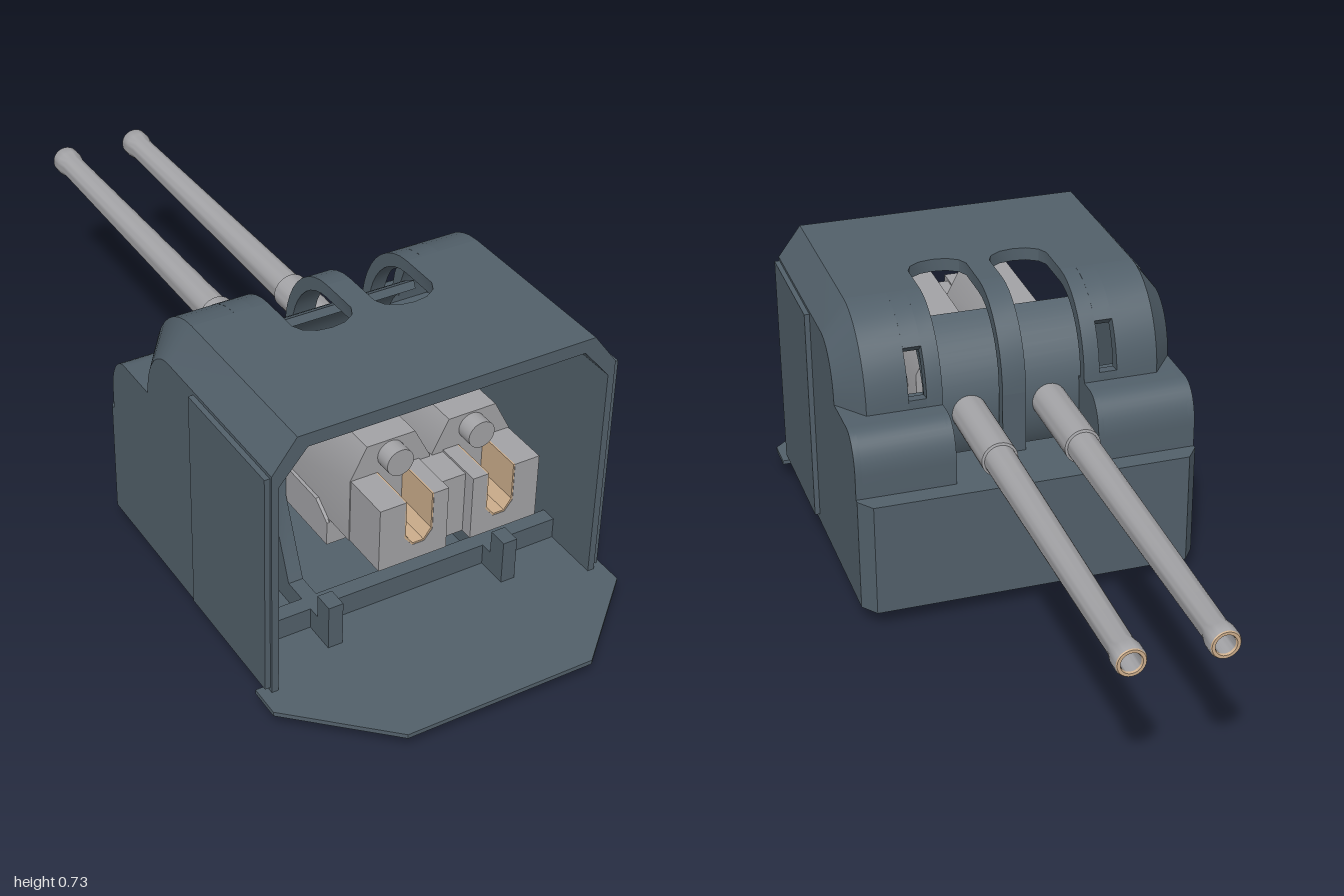
import * as THREE from 'three';
import { toCreasedNormals } from 'three/addons/utils/BufferGeometryUtils.js';

const mat = (name, color) => {
  const m = new THREE.MeshStandardMaterial({ color, side: THREE.DoubleSide });
  m.name = name;
  return m;
};

export function createModel() {
  const root = new THREE.Group();
  root.name = 'twinGunMount';
  const armour = mat('blue grey armour', 0x52606a);
  const steel = mat('light gun steel', 0xa3a3a6);
  const brass = mat('tan bore', 0xcdae8c);
  const black = mat('dark base', 0x2d2b29);

  const add = (name, geo, material, parent = root) => {
    const m = new THREE.Mesh(geo, material);
    m.name = name;
    parent.add(m);
    return m;
  };
  const shapeOf = pts => new THREE.Shape(pts.map(p => new THREE.Vector2(p[0], p[1])));
  const extrude = (pts, depth) =>
    toCreasedNormals(new THREE.ExtrudeGeometry(shapeOf(pts), { depth, bevelEnabled: false }), 0.5);
  // (z, y) outline extruded across x
  const slab = (pts, x0, x1) => extrude(pts, x1 - x0).rotateY(-Math.PI / 2).translate(x1, 0, 0);
  // (x, z) outline extruded in height
  const plan = (pts, y0, y1) => extrude(pts, y1 - y0).rotateX(Math.PI / 2).translate(0, y1, 0);
  // (x, y) outline extruded along z
  const front = (pts, z0, z1) => extrude(pts, z1 - z0).translate(0, 0, z0);
  const box = (x0, x1, y0, y1, z0, z1) =>
    new THREE.BoxGeometry(x1 - x0, y1 - y0, z1 - z0).translate((x0 + x1) / 2, (y0 + y1) / 2, (z0 + z1) / 2);
  // arc from straight up round towards the muzzle side
  const arc = (cz, cy, rz, ry, a0 = 0, a1 = Math.PI / 2, n = 10) =>
    Array.from({ length: n + 1 }, (_, i) => {
      const a = a0 + (a1 - a0) * i / n;
      return [cz - rz * Math.sin(a), cy + ry * Math.cos(a)];
    });
  const flip = pts => pts.map(([x, y]) => [-x, y]);

  // Base ring and floor
  add('baseRing', new THREE.CylinderGeometry(0.27, 0.27, 0.05, 48, 1, true).translate(0, 0.025, 0.35), black);
  add('baseRingInside', new THREE.CylinderGeometry(0.258, 0.258, 0.05, 48, 1, true).translate(0, 0.025, 0.35), black);
  add('baseRingEdge', new THREE.RingGeometry(0.258, 0.27, 48).rotateX(Math.PI / 2).translate(0, 0.0005, 0.35), black);
  const half = [[0.4, -0.07], [0.43, -0.03], [0.43, 0.72], [0.457, 0.72], [0.457, 0.8], [0.24, 1]];
  add('floorPlate', plan([...half, ...flip(half).reverse()], 0.045, 0.056), armour);

  // Roof with two rounded gun slots
  const notch = [[0.03, 0.28], [0.03, 0.385], [0.042, 0.41], [0.07, 0.428], [0.105, 0.433],
    [0.14, 0.428], [0.168, 0.41], [0.18, 0.385], [0.18, 0.28]];
  add('roof', plan([[-0.37, 0.745], [-0.37, 0.28], ...flip(notch).reverse(), ...notch,
    [0.37, 0.28], [0.37, 0.745]], 0.692, 0.725), armour);

  // Curved upper front, divided by gun slots and sight ports
  const band = (a0, a1) => [...arc(0.28, 0.5, 0.19, 0.225, a0, a1), ...arc(0.28, 0.5, 0.16, 0.192, a0, a1).reverse()];
  const H = Math.PI / 2;
  add('centreStrip', slab(band(0, H), -0.03, 0.03), armour);
  add('centrePost', box(-0.03, 0.03, 0.33, 0.5, 0.09, 0.12), armour);

  // Chamfered roof edge lofted from four-cornered sections
  const chamfer = side => {
    const rails = [[0.37, 0.19, 0.225], [0.43, 0.11, 0.145], [0.413, 0.08, 0.112], [0.345, 0.16, 0.192]]
      .map(([x, rz, ry]) => [[0.745, 0.5 + ry], ...arc(0.28, 0.5, rz, ry)].map(([z, y]) => [x * side, y, z]));
    const v = [], n = rails[0].length;
    const quad = (a, b, c, d) => (side > 0 ? [a, b, c, a, c, d] : [a, c, b, a, d, c]).forEach(p => v.push(...p));
    for (let i = 0; i < n - 1; i++) for (let k = 0; k < 4; k++) {
      const A = rails[k], B = rails[(k + 1) % 4];
      quad(A[i], B[i], B[i + 1], A[i + 1]);
    }
    quad(rails[0][0], rails[3][0], rails[2][0], rails[1][0]);
    const g = new THREE.BufferGeometry();
    g.setAttribute('position', new THREE.Float32BufferAttribute(v, 3));
    g.computeVertexNormals();
    return toCreasedNormals(g, 0.5);
  };

  const shelfOuter = [[0.17, 0.5], ...arc(0.05, 0.4, 0.07, 0.1), [-0.02, 0.33]];
  const shelfInner = [[0.17, 0.475], ...arc(0.05, 0.4, 0.045, 0.075), [0.005, 0.33]];
  const wall = [[0.745, 0.05], [0.745, 0.645], ...arc(0.28, 0.5, 0.11, 0.145),
    ...arc(0.05, 0.4, 0.07, 0.1), [-0.02, 0.34], [-0.03, 0.34], [-0.03, 0.05]];
  const bracket = [[0.68, 0.05], [0.68, 0.17], [0.63, 0.17], [0.63, 0.11], [0.5, 0.11], [0.42, 0.3],
    [0.42, 0.48], [0.3, 0.48], [0.3, 0.3], [0.22, 0.05]];

  for (const s of [1, -1]) {
    const side = new THREE.Group();
    side.name = s > 0 ? 'leftSide' : 'rightSide';
    root.add(side);
    const across = (pts, a, b) => (s > 0 ? slab(pts, a, b) : slab(pts, -b, -a));
    add('sideWall', across(wall, 0.413, 0.43), armour, side);
    add('sideDoor', across([[0.4, 0.065], [0.738, 0.065], [0.738, 0.637], [0.4, 0.637]], 0.43, 0.443), armour, side);
    add('roofChamfer', chamfer(s), armour, side);
    // Curved front panel around the sight port
    add('frontPanelInner', across(band(0, H), 0.18, 0.22), armour, side);
    add('frontPanelOuter', across(band(0, H), 0.265, 0.37), armour, side);
    add('frontPanelAbovePort', across(band(0, 0.88), 0.22, 0.265), armour, side);
    add('frontPanelBelowPort', across(band(1.47, H), 0.22, 0.265), armour, side);
    // Rounded shoulder beside the guns
    add('shoulder', across([...shelfOuter, ...shelfInner.reverse()], 0.18, 0.42), armour, side);
    shelfInner.reverse();
    add('shoulderCheek', across([...shelfOuter, [0.17, 0.33]], 0.18, 0.195), armour, side);
    // Trunnion support
    add('trunnionBracket', across(bracket, 0.213, 0.25), armour, side);
    add('trunnion', new THREE.CylinderGeometry(0.028, 0.028, 0.1, 24).rotateZ(H)
      .translate(s * 0.235, 0.44, 0.36), steel, side);
    add('trunnionCap', new THREE.CylinderGeometry(0.022, 0.022, 0.01, 24).rotateZ(H)
      .translate(s * 0.287, 0.44, 0.36), steel, side);
  }

  // Lower front plate with clipped corners, and the ledge under the guns
  add('lowerFront', plan([[-0.43, -0.03], [-0.4, -0.07], [0.4, -0.07], [0.43, -0.03]], 0.05, 0.34), armour);
  add('gunLedge', box(-0.195, 0.195, 0.315, 0.34, -0.03, 0.13), armour);
  add('shoulderLedge', box(-0.42, 0.42, 0.315, 0.34, -0.03, 0.005), armour);
  add('crossBeam', box(-0.413, 0.413, 0.056, 0.11, 0.56, 0.6), armour);

  // Curved shield that swings with the guns
  const swing = r => arc(0.36, 0.44, r, r, 0.42, 2.3, 16);
  add('gunMantlet', slab([...swing(0.235), ...swing(0.215).reverse()], -0.212, 0.212), armour);

  // Cradle beneath both breeches
  add('cradle', box(-0.205, 0.205, 0.28, 0.345, 0.28, 0.6), steel);
  for (const s of [1, -1])
    add('cradleSide', slab([[0.28, 0.28], [0.6, 0.28], [0.6, 0.34], [0.55, 0.375], [0.28, 0.375]],
      s > 0 ? 0.2 : -0.211, s > 0 ? 0.211 : -0.2), steel);
  add('breechWeb', box(-0.032, 0.032, 0.345, 0.5, 0.6, 0.77), steel);

  // Two guns
  const groove = [[0.035, 0.505], [0.035, 0.41], [0.015, 0.385], [-0.015, 0.385], [-0.035, 0.41], [-0.035, 0.505]];
  const lining = groove.map(([x, y]) => [x * 0.9, y === 0.505 ? y : y + 0.004]);
  const profile = [[0.045, 0.2], [0.045, -0.12], [0.039, -0.122], [0.031, -0.94], [0.036, -0.965],
    [0.036, -0.992], [0.034, -0.997]];
  const lathe = pts => toCreasedNormals(
    new THREE.LatheGeometry(pts.map(([r, z]) => new THREE.Vector2(r, -z)), 28).toNonIndexed(), 0.5).rotateX(-H);
  for (const s of [1, -1]) {
    const gun = new THREE.Group();
    gun.name = s > 0 ? 'leftGun' : 'rightGun';
    gun.position.x = s * 0.103;
    root.add(gun);
    add('barrel', lathe(profile).translate(0, 0.447, 0), steel, gun);
    add('muzzleLip', lathe([[0.034, -0.997], [0.032, -1], [0.025, -1], [0.023, -0.995]]).translate(0, 0.447, 0), brass, gun);
    add('bore', lathe([[0.023, -0.995], [0.023, -0.85], [0.0005, -0.85]]).translate(0, 0.447, 0), steel, gun);
    add('breechHousing', front([[-0.1, 0.345], [0.1, 0.345], [0.1, 0.505], [0.06, 0.582],
      [-0.06, 0.582], [-0.1, 0.505]], 0.25, 0.68), steel, gun);
    const inner = -0.072, outer = 0.098;
    const block = [[inner, 0.345], [outer, 0.345], [outer, 0.505], ...groove, [inner, 0.505]];
    add('breechBlock', front(s > 0 ? block : flip(block), 0.6, 0.8), steel, gun);
    add('loadingTrough', front([...groove, ...lining.slice().reverse()], 0.68, 0.799), brass, gun);
    add('recoilCylinder', new THREE.CylinderGeometry(0.033, 0.033, 0.1, 24).rotateX(H)
      .translate(0, 0.545, 0.67), steel, gun);
  }
  return root;
}
